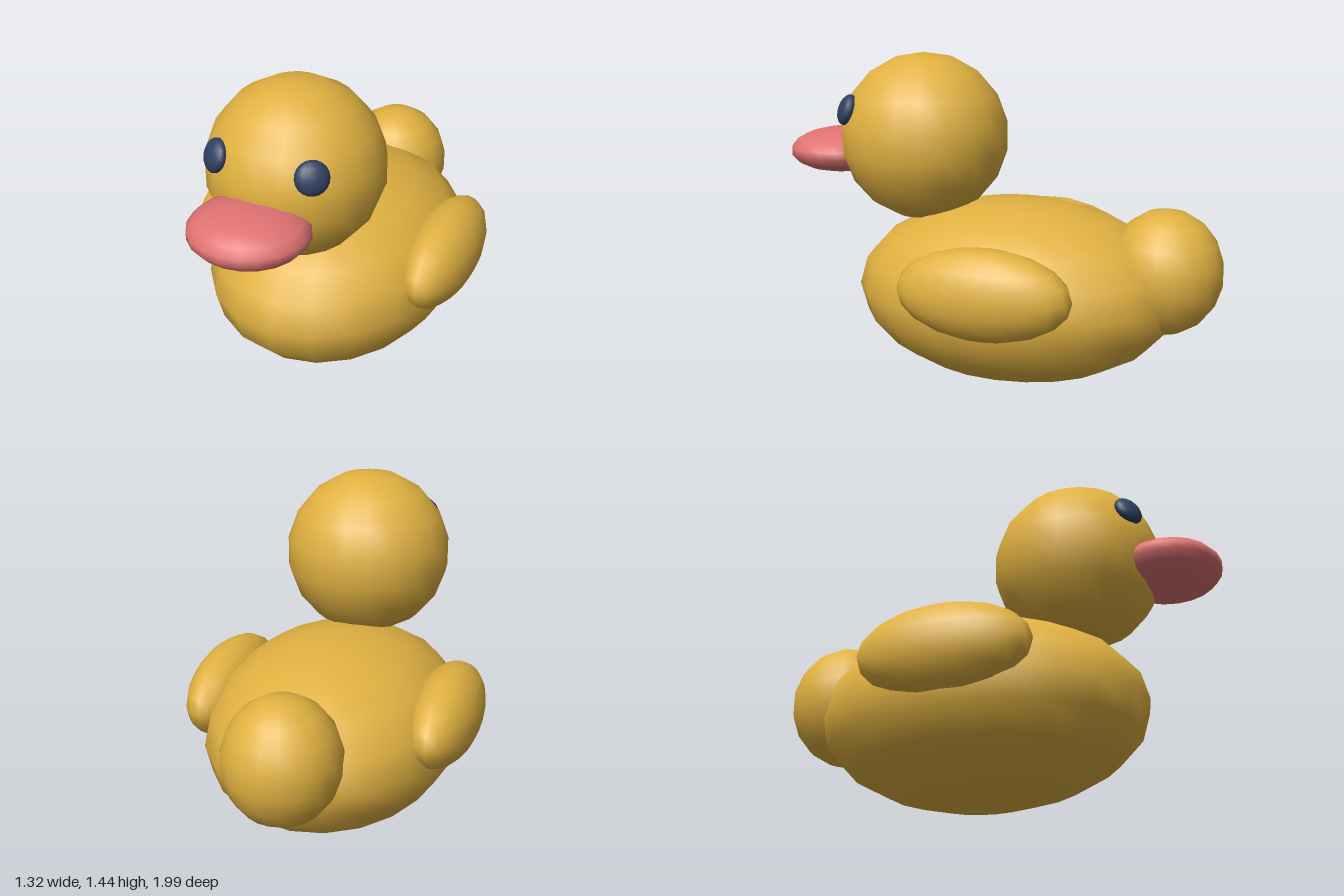
import * as THREE from 'three';

export function createModel() {
  const model = new THREE.Group();
  model.name = 'bathDuck';

  const material = (name, color) => {
    const m = new THREE.MeshStandardMaterial({ color });
    m.name = name;
    return m;
  };
  const yellow = material('duckYellow', 0xe0b141);
  const coral = material('beakCoral', 0xe07272);
  const navy = material('eyeNavy', 0x2e4060);

  // Every part is an ellipsoid: radii baked into a smooth unit sphere
  const ellipsoid = (name, mat, [x, y, z], [rx, ry, rz], wide = 20, high = 9) => {
    const geometry = new THREE.SphereGeometry(1, wide, high).scale(rx, ry, rz);
    const mesh = new THREE.Mesh(geometry, mat);
    mesh.name = name;
    mesh.position.set(x, y, z);
    model.add(mesh);
    return mesh;
  };

  // Body, head, tail and beak
  const headCentre = new THREE.Vector3(0, 1.07, 0.357);
  ellipsoid('body', yellow, [0, 0.405, -0.085], [0.56, 0.405, 0.735], 20, 10);
  ellipsoid('head', yellow, headCentre.toArray(), [0.374, 0.374, 0.378]);
  ellipsoid('tail', yellow, [0, 0.535, -0.748], [0.249, 0.275, 0.252]);
  ellipsoid('beak', coral, [0, 0.99, 0.765], [0.249, 0.1, 0.235]);

  // Mirrored wings and eyes
  for (const [side, s] of [['left', 1], ['right', -1]]) {
    ellipsoid(side + 'Wing', yellow, [s * 0.505, 0.515, -0.09], [0.153, 0.196, 0.378], 20, 10);

    // Flattened eye, turned to face away from the head's centre
    const eye = ellipsoid(side + 'Eye', navy, [s * 0.208, 1.202, 0.638], [0.07, 0.07, 0.038], 14, 10);
    const outward = eye.position.clone().sub(headCentre);
    eye.lookAt(eye.position.clone().add(outward));
  }

  return model;
}
